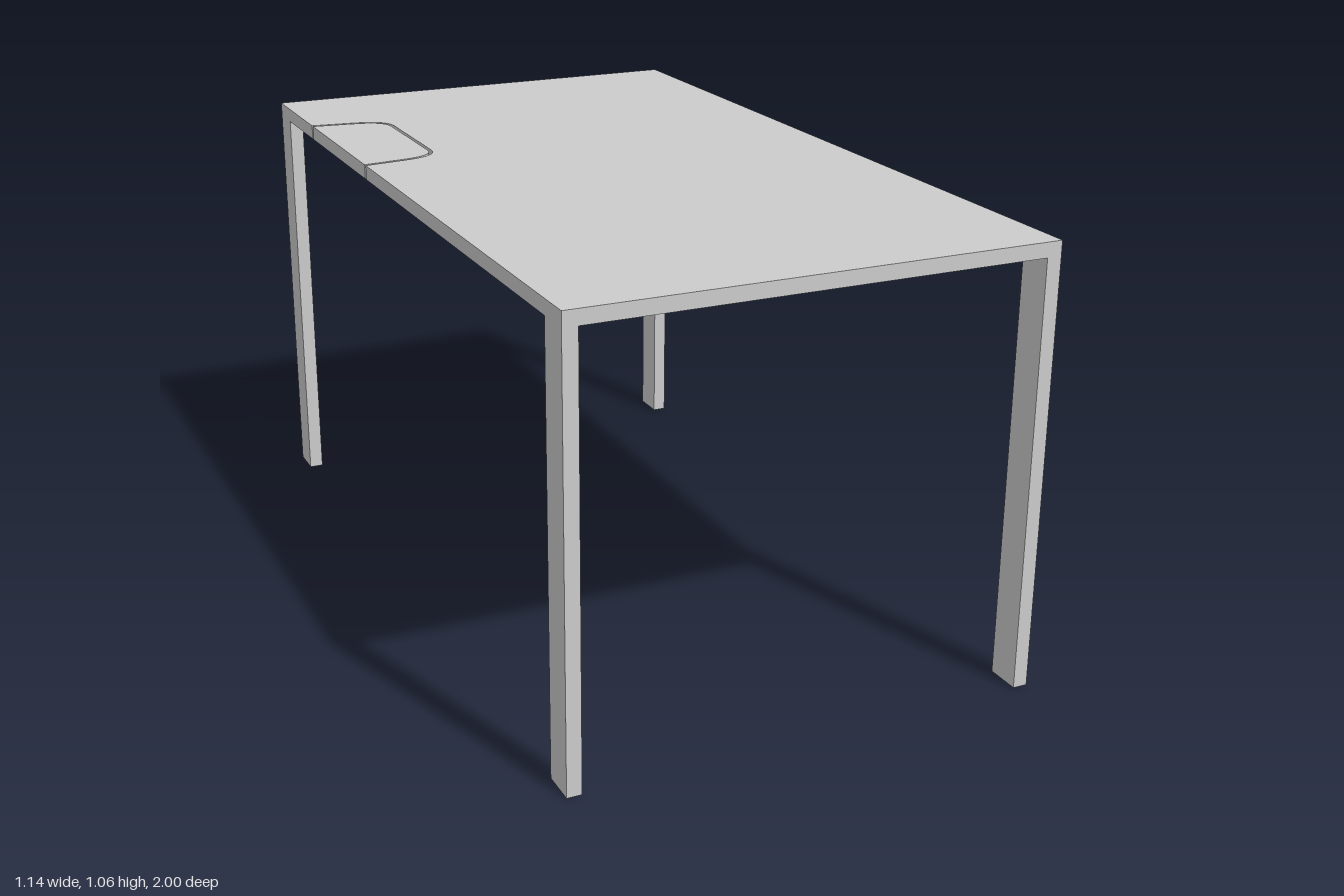
import * as THREE from 'three';

const W = 0.571, L = 1, H = 1.058, T = 0.035; // half width, half length, height, top thickness
const LEG_X = 0.035, LEG_Z = 0.085;
const FLAP_Z = -0.457, GAP = 0.009;

const material = new THREE.MeshStandardMaterial({ color: 0xcccccc });

// Draws the rounded flap edge from its back end to its front end, shrunk by inset.
function traceFlap(shape, inset) {
  const c = -FLAP_Z, h = 0.235 - inset, x = -0.374 - inset;
  shape.lineTo(-W, c + h);
  shape.lineTo(-0.475, c + h - 0.012);
  shape.bezierCurveTo(-0.41, c + h - 0.02, x, c + h - 0.04, x, c + 0.145);
  shape.lineTo(x, c - 0.145);
  shape.bezierCurveTo(x, c - h + 0.04, -0.41, c - h + 0.02, -0.475, c - h + 0.012);
  shape.lineTo(-W, c - h);
}

// Lays a flat outline (x, -z) down as a panel of the table top.
function panel(shape, name) {
  const geometry = new THREE.ExtrudeGeometry(shape, { depth: T, bevelEnabled: false, curveSegments: 12 });
  geometry.rotateX(-Math.PI / 2);
  geometry.translate(0, H - T, 0);
  const mesh = new THREE.Mesh(geometry, material);
  mesh.name = name;
  return mesh;
}

export function createModel() {
  const table = new THREE.Group();
  table.name = 'table';

  // Table top with a notch in its right edge
  const top = new THREE.Shape();
  top.moveTo(-W, -L);
  top.lineTo(W, -L);
  top.lineTo(W, L);
  top.lineTo(-W, L);
  traceFlap(top, 0);
  top.closePath();
  table.add(panel(top, 'tableTop'));

  // Cable flap filling the notch, with a thin gap around it
  const flap = new THREE.Shape();
  flap.moveTo(-W, -FLAP_Z + 0.235 - GAP);
  traceFlap(flap, GAP);
  flap.closePath();
  table.add(panel(flap, 'cableFlap'));

  // Four flat legs flush with the corners
  const legHeight = H - T;
  const legGeometry = new THREE.BoxGeometry(LEG_X, legHeight, LEG_Z);
  for (const [sz, end] of [[1, 'front'], [-1, 'back']]) {
    for (const [sx, side] of [[1, 'Left'], [-1, 'Right']]) {
      const leg = new THREE.Mesh(legGeometry, material);
      leg.name = `${end}${side}Leg`;
      leg.position.set(sx * (W - LEG_X / 2), legHeight / 2, sz * (L - LEG_Z / 2));
      table.add(leg);
    }
  }
  return table;
}
